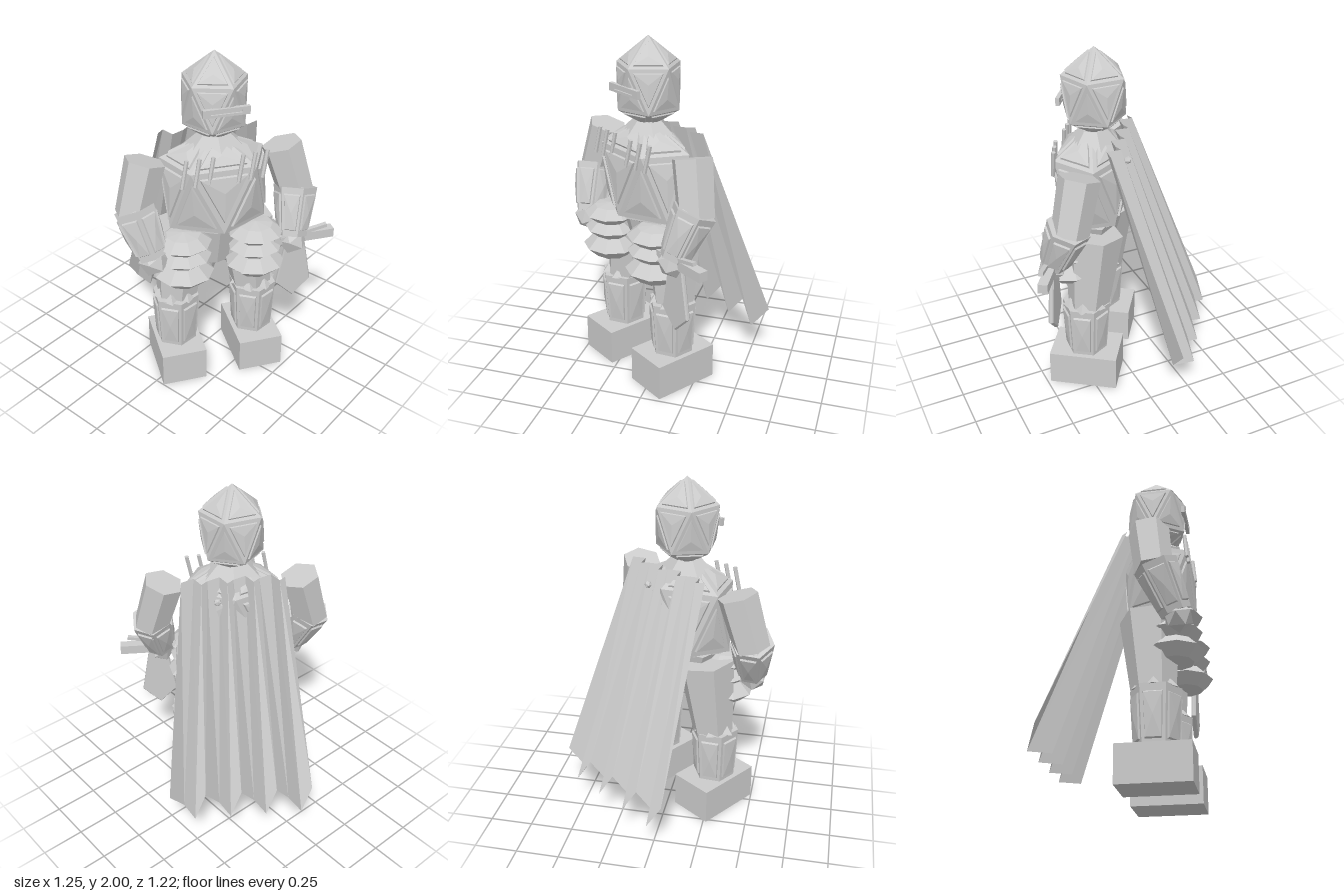
import * as THREE from 'three';

const V = (x, y, z) => new THREE.Vector3(x, y, z);
const shape = pts => new THREE.Shape(pts.map(p => new THREE.Vector2(...p)));
const mat = new THREE.MeshStandardMaterial({ color: 0xcccccc, flatShading: true });
const matThin = new THREE.MeshStandardMaterial({ color: 0xcccccc, flatShading: true, side: THREE.DoubleSide });

// Convex body of flat polygons, each carrying a raised, pointed inset panel
function panelled(polys, centre, lift, inset = 0.74) {
  const pos = [];
  const tri = (...pts) => pts.forEach(p => pos.push(p.x, p.y, p.z));
  for (const poly of polys) {
    const n = poly.length;
    const c = poly.reduce((s, p) => s.add(p), V(0, 0, 0)).divideScalar(n);
    const normal = poly[1].clone().sub(poly[0]).cross(poly[2].clone().sub(poly[0])).normalize();
    let pts = poly;
    if (normal.dot(c.clone().sub(centre)) < 0) { pts = [...poly].reverse(); normal.negate(); }
    const rim = pts.map(p => p.clone().lerp(c, 1 - inset));
    const top = pts.map(p => p.clone().lerp(c, 1.04 - inset).addScaledVector(normal, lift));
    const peak = c.clone().addScaledVector(normal, lift * 1.8);
    for (let i = 0; i < n; i++) {
      const j = (i + 1) % n;
      tri(pts[i], pts[j], rim[j]); tri(pts[i], rim[j], rim[i]);
      tri(rim[i], rim[j], top[j]); tri(rim[i], top[j], top[i]);
      tri(top[i], top[j], peak);
    }
  }
  const g = new THREE.BufferGeometry();
  g.setAttribute('position', new THREE.Float32BufferAttribute(pos, 3));
  g.computeVertexNormals();
  return g;
}

// Twenty-faced shell: two staggered rings of five between a top and a bottom point
function shell(yTop, yUp, yLow, yBottom, rUp, rLow, sx, sz, turn, lift) {
  const ring = (y, r, offset) => Array.from({ length: 5 }, (_, i) => {
    const a = THREE.MathUtils.degToRad(turn + offset + i * 72);
    return V(Math.sin(a) * r * sx, y, Math.cos(a) * r * sz);
  });
  const up = ring(yUp, rUp, 0), low = ring(yLow, rLow, 36);
  const top = V(0, yTop, 0), bottom = V(0, yBottom, 0), faces = [];
  for (let i = 0; i < 5; i++) {
    const j = (i + 1) % 5;
    faces.push([top, up[i], up[j]], [up[i], low[i], up[j]], [low[i], low[j], up[j]], [bottom, low[j], low[i]]);
  }
  return panelled(faces, V(0, (yUp + yLow) / 2, 0), lift);
}

// Panelled six-sided sleeve along y
function sleeve(rTop, rBottom, h) {
  const ring = (y, r) => Array.from({ length: 6 }, (_, i) => V(Math.sin(i * Math.PI / 3) * r, y, Math.cos(i * Math.PI / 3) * r));
  const a = ring(h / 2, rTop), b = ring(-h / 2, rBottom);
  const faces = a.map((p, i) => [p, b[i], b[(i + 1) % 6], a[(i + 1) % 6]]);
  return panelled([...faces, a, b], V(0, 0, 0), 0.01);
}

// Pleated cape: each pleat has a raised notch, a low ridge and a low inner fold
function capeGeometry() {
  const columns = [];
  for (let i = 0; i <= 4; i++) {
    const x = 0.12 * i, z = -0.17 * i, tx = -0.18 + 0.08 * i, tz = 0.22 - 0.118 * i;
    columns.push([V(tx, 1.5, tz), V(-0.625 + x, 0.33, 0.07 + z)]);
    if (i < 4) {
      columns.push([V(tx - 0.01, 1.5, tz - 0.05), V(-0.63 + x, 0.2, -0.015 + z)]);
      columns.push([V(tx + 0.07, 1.5, tz - 0.04), V(-0.5 + x, 0.2, 0.005 + z)]);
    }
  }
  const pos = columns.flatMap(([a, b]) => [...a.toArray(), ...b.toArray()]);
  const index = [];
  for (let i = 0; i < columns.length - 1; i++) {
    const a = i * 2;
    index.push(a, a + 2, a + 1, a + 2, a + 3, a + 1);
  }
  const g = new THREE.BufferGeometry();
  g.setAttribute('position', new THREE.Float32BufferAttribute(pos, 3));
  g.setIndex(index);
  g.computeVertexNormals();
  return g;
}

export function createModel() {
  const root = new THREE.Group();
  root.name = 'knight';
  const body = new THREE.Group();
  body.name = 'body';
  body.rotation.y = THREE.MathUtils.degToRad(55);
  body.position.set(0.105, 0, 0.08);
  root.add(body);

  const add = (name, geometry, x = 0, y = 0, z = 0) => {
    const m = new THREE.Mesh(geometry, mat);
    m.name = name;
    m.position.set(x, y, z);
    body.add(m);
    return m;
  };
  // Places a y-aligned geometry so that its top is at a and its bottom at b
  const span = (name, make, a, b) => {
    const d = a.clone().sub(b), mid = a.clone().add(b).multiplyScalar(0.5);
    const m = add(name, make(d.length()), mid.x, mid.y, mid.z);
    m.quaternion.setFromUnitVectors(V(0, 1, 0), d.normalize());
    return m;
  };

  // Helmet and visor
  add('helmet', shell(2, 1.85, 1.605, 1.5, 0.182, 0.175, 1, 1, 17, 0.008), 0, 0, -0.018);
  const frame = shape([[-0.126, -0.022], [0.126, -0.022], [0.126, 0.022], [-0.126, 0.022]]);
  frame.holes.push(shape([[-0.085, -0.008], [-0.085, 0.008], [0.085, 0.008], [0.085, -0.008]]));
  add('visor', new THREE.ExtrudeGeometry(frame, { depth: 0.022, bevelEnabled: false }), 0.016, 1.73, 0.142);
  add('visorSlit', new THREE.BoxGeometry(0.18, 0.02, 0.01), 0.016, 1.73, 0.15);

  // Collar, breastplate and hips
  add('collar', new THREE.CylinderGeometry(0.09, 0.2, 0.1, 6), 0, 1.49, -0.01).scale.z = 0.8;
  add('breastplate', shell(1.55, 1.4, 1.02, 0.97, 1, 0.93, 0.31, 0.215, 36, 0.012));
  add('hips', new THREE.CylinderGeometry(0.25, 0.13, 0.28, 6), 0, 0.87, -0.02).scale.z = 0.6;

  // Leaning bars on the chest
  for (const x of [-0.2, -0.13, -0.055, 0.105, 0.175, 0.245]) {
    const z = x > 0 ? 0.19 - (x - 0.105) * 0.15 : 0.178;
    span('chestBar', h => new THREE.CylinderGeometry(0.012, 0.012, h, 6), V(x, 1.485, z - 0.01), V(x - 0.03, 1.33, z + 0.005));
  }

  // Blunt faceted plate used on the thighs
  const plateProfile = [[0, -1], [0.62, -0.8], [1, 0], [0.62, 0.8], [0, 1]].map(p => new THREE.Vector2(...p));
  const plateGeometry = new THREE.LatheGeometry(plateProfile, 9);

  // Arms and legs on both sides
  for (const s of [-1, 1]) {
    const side = s > 0 ? 'left' : 'right';
    const handX = s > 0 ? 0.42 : -0.39;
    span(side + 'UpperArm', h => new THREE.CylinderGeometry(0.115, 0.105, h, 6), V(s * 0.385, 1.42, -0.01), V(s * 0.47, 1.12, 0.03));
    add(side + 'Elbow', new THREE.IcosahedronGeometry(0.1, 0), s * 0.465, 1.11, 0.035);
    span(side + 'Forearm', h => sleeve(0.125, 0.085, h), V(s * 0.465, 1.16, 0.035), V(handX, 0.9, 0.135));
    const hand = add(side + 'Hand', new THREE.IcosahedronGeometry(0.085, 0), handX, 0.875, 0.145);
    hand.rotation.set(-0.3, 0.5, 0);

    // Three bulging thigh plates
    [[0.95, 0.06, 0.16], [0.86, 0.06, 0.158], [0.75, 0.075, 0.172]].forEach(([y, ry, r]) => {
      const plate = add(side + 'ThighPlate', plateGeometry, s * 0.21, y, 0.105);
      plate.scale.set(r, ry, r * 0.95);
    });
    span(side + 'Thigh', h => new THREE.CylinderGeometry(0.17, 0.115, h, 6), V(s * 0.185, 0.97, -0.04), V(s * 0.235, 0.45, -0.01));
    add(side + 'Shin', sleeve(0.14, 0.12, 0.34), s * 0.237, 0.36, 0);

    // Pointed rim round the knee
    for (let i = 0; i < 6; i++) {
      const a = i * Math.PI / 3 + Math.PI / 6;
      add(side + 'KneePoint', new THREE.ConeGeometry(0.045, 0.05, 4),
        s * 0.237 + Math.sin(a) * 0.095, 0.55, Math.cos(a) * 0.095);
    }
    add(side + 'Foot', new THREE.BoxGeometry(0.266, 0.21, 0.4), s * 0.237, 0.105, 0);
  }

  // Short sword held downwards in the left hand
  const blade = shape([[-0.035, 0.95], [-0.1, 0.58], [0, 0.48], [0.1, 0.58], [0.035, 0.95]]);
  add('blade', new THREE.ExtrudeGeometry(blade, { depth: 0.012, bevelEnabled: true, bevelThickness: 0.008, bevelSize: 0.006, bevelSegments: 1 }), 0.44, 0, 0.13);
  add('crossguard', new THREE.BoxGeometry(0.36, 0.055, 0.055), 0.485, 0.89, 0.14);
  add('guardSpike', new THREE.BoxGeometry(0.28, 0.02, 0.025), 0.48, 0.925, 0.16).rotation.z = 0.18;

  // Cape and its clasp
  const cape = new THREE.Mesh(capeGeometry(), matThin);
  cape.name = 'cape';
  root.add(cape);
  add('capeClasp', new THREE.IcosahedronGeometry(0.022, 0), 0.1, 1.4, -0.22);

  return root;
}
